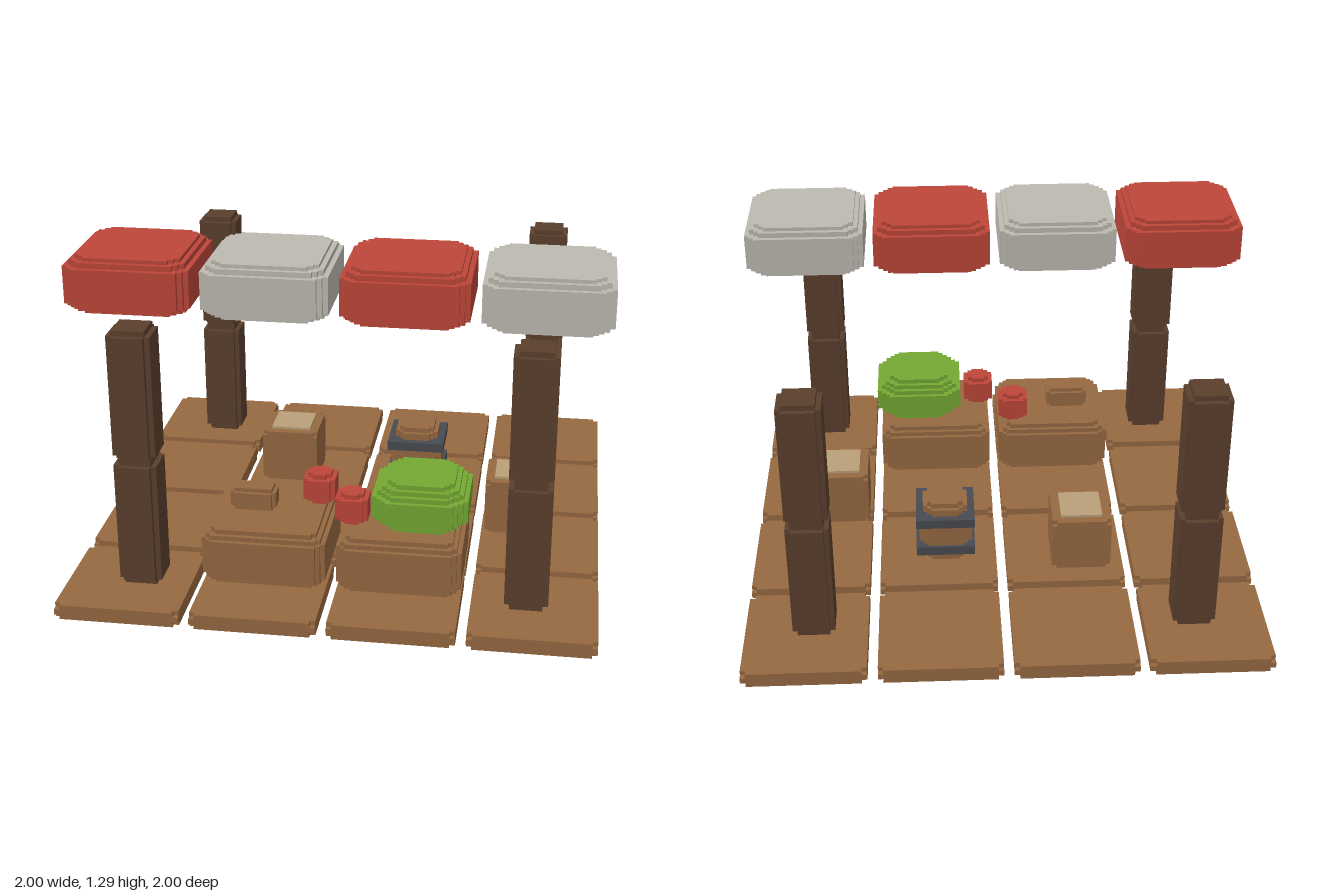
import * as THREE from 'three';
import { mergeGeometries } from 'three/addons/utils/BufferGeometryUtils.js';

const mat = (name, color) => {
  const m = new THREE.MeshStandardMaterial({ color });
  m.name = name;
  return m;
};

// Rectangle whose corners are cut by a staircase of `steps` steps of size s
function steppedShape(w, d, steps, s) {
  const a = w / 2, b = d / 2, q = [];
  for (let i = 0; i <= steps; i++) {
    q.push([a - i * s, b - (steps - i) * s]);
    if (i < steps) q.push([a - (i + 1) * s, b - (steps - i) * s]);
  }
  const r = [...q].reverse();
  const pts = [
    ...q,
    ...r.map(([x, y]) => [-x, y]),
    ...q.map(([x, y]) => [-x, -y]),
    ...r.map(([x, y]) => [x, -y]),
  ];
  return new THREE.Shape(pts.map(([x, y]) => new THREE.Vector2(x, y)));
}

// Block standing on y = 0, stacked from layers mirrored top and bottom.
// rims: [thickness, inset, cornerSteps] from the outside in; core: corner steps of the middle
function steppedBlock(w, h, d, s, rims, core) {
  const rimHeight = rims.reduce((t, r) => t + r[0], 0);
  const layers = [...rims, [h - 2 * rimHeight, 0, core], ...[...rims].reverse()];
  let y = 0;
  const parts = layers.map(([t, inset, steps]) => {
    const g = new THREE.ExtrudeGeometry(
      steppedShape(w - 2 * inset, d - 2 * inset, steps, s),
      { depth: t, bevelEnabled: false });
    g.rotateX(-Math.PI / 2).translate(0, y, 0);
    y += t;
    return g;
  });
  return mergeGeometries(parts);
}

export function createModel() {
  const group = new THREE.Group();
  group.name = 'marketStall';

  const wood = mat('wood', 0x966941);
  const darkWood = mat('darkWood', 0x593f2d);
  const red = mat('red', 0xbe4639);
  const cream = mat('paleGrey', 0xbcbab0);
  const green = mat('green', 0x74a832);
  const straw = mat('straw', 0xbaa07a);
  const iron = mat('iron', 0x484a52);

  const add = (name, geo, material, x, y, z, parent = group) => {
    const m = new THREE.Mesh(geo, material);
    m.name = name;
    m.position.set(x, y, z);
    parent.add(m);
    return m;
  };

  const FLOOR = 0.058, TOP = 0.28;
  const cols = [-0.765, -0.255, 0.255, 0.765];

  // Floor of sixteen tiles with nicked corners
  const tile = steppedBlock(0.47, FLOOR, 0.47, 0.02, [[0.018, 0, 1]], 0);
  for (const x of cols) for (const z of cols) add('floorTile', tile, wood, x, 0, z);

  // Corner posts, two segments each
  const post = steppedBlock(0.162, 0.51, 0.162, 0.02, [[0.02, 0.02, 0]], 1);
  for (const x of [-0.72, 0.735]) for (const z of [-0.72, 0.735])
    for (let i = 0; i < 2; i++) add('post', post, darkWood, x, FLOOR + 0.51 * i, z);

  // Awning of four rounded cushions in alternating colours
  const awning = steppedBlock(0.47, 0.212, 0.47, 0.019,
    [[0.014, 0.038, 2], [0.02, 0.019, 2]], 2);
  cols.forEach((x, i) => add('awning', awning, i % 2 ? cream : red, x, 1.08, 0.435));

  // Counters
  const counter = steppedBlock(0.47, TOP - FLOOR, 0.465, 0.017,
    [[0.018, 0.034, 1], [0.018, 0.017, 1]], 2);
  for (const x of [-0.257, 0.255]) add('counter', counter, wood, x, FLOOR, 0.545);

  // Goods on the counters
  const loaf = steppedBlock(0.176, 0.09, 0.1, 0.015, [[0.015, 0.015, 0]], 1);
  add('loaf', loaf, wood, -0.328, TOP, 0.53);
  const apple = steppedBlock(0.124, 0.122, 0.124, 0.018, [[0.018, 0.018, 1]], 1);
  add('apple', apple, red, -0.085, TOP, 0.435);
  add('apple', apple, red, 0.063, TOP, 0.588);
  const melon = steppedBlock(0.36, 0.195, 0.355, 0.018,
    [[0.018, 0.054, 2], [0.018, 0.036, 2], [0.018, 0.018, 3]], 3);
  add('melon', melon, green, 0.325, TOP, 0.545);

  // Crates with a pale filling showing on top
  const crateGeo = steppedBlock(0.235, TOP - FLOOR, 0.235, 0.018, [[0.018, 0, 1]], 0);
  const filling = new THREE.BoxGeometry(0.165, 0.02, 0.165);
  for (const [x, z] of [[-0.32, -0.285], [0.66, 0.078]]) {
    const crate = new THREE.Group();
    crate.name = 'crate';
    crate.position.set(x, FLOOR, z);
    add('crateBody', crateGeo, wood, 0, 0, 0, crate);
    add('crateFilling', filling, straw, 0, TOP - FLOOR, 0, crate);
    group.add(crate);
  }

  // Barrel with two iron bands
  const barrel = new THREE.Group();
  barrel.name = 'barrel';
  barrel.position.set(0.225, 0, -0.25);
  const body = steppedBlock(0.212, 0.272, 0.212, 0.017,
    [[0.02, 0.034, 1], [0.03, 0.017, 2]], 2);
  add('barrelBody', body, wood, 0, FLOOR, 0, barrel);
  const band = new THREE.BoxGeometry(0.235, 0.038, 0.235);
  for (const y of [0.132, 0.262]) add('barrelBand', band, iron, 0, y, 0, barrel);
  group.add(barrel);

  return group;
}
